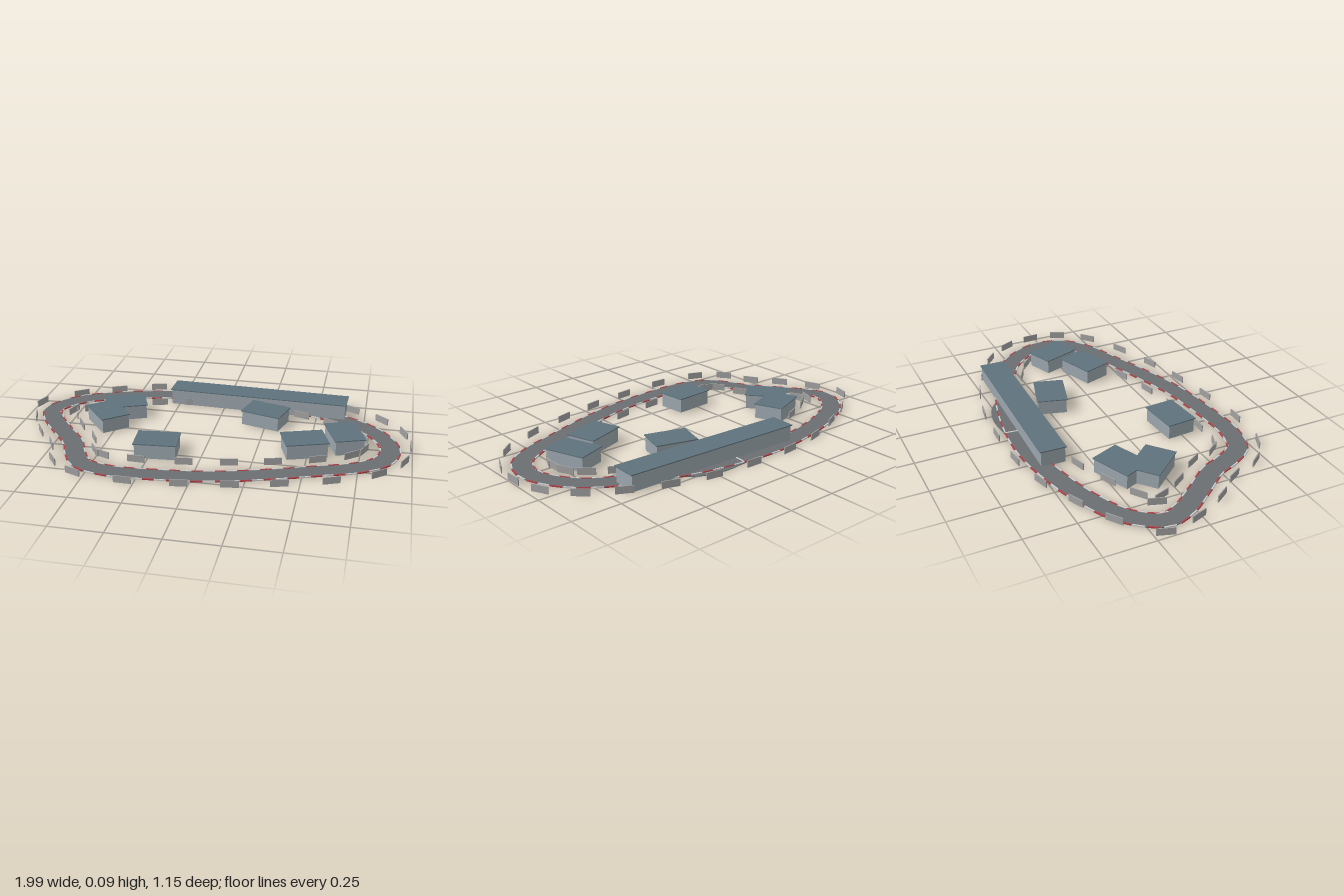
import * as THREE from 'three';

const mat = (color) => new THREE.MeshStandardMaterial({ color, flatShading: true });
const asphalt = mat(0x6a6e72), red = mat(0xb04046), grey = mat(0xcccccc);
const wall = mat(0x9aa5ac), roofMat = mat(0x5f727c), barrierMat = mat(0xa0a0a0);

const makeCurve = (pts, closed) => new THREE.CatmullRomCurve3(
  pts.map(([x, z]) => new THREE.Vector3(x, 0, z)), closed, 'centripetal');

// Horizontal unit vector pointing to the outside of the circuit
const outward = (t) => new THREE.Vector3(t.z, 0, -t.x).normalize();

function box(name, w, h, d, material, x, y, z, rotY = 0) {
  const mesh = new THREE.Mesh(new THREE.BoxGeometry(w, h, d), material);
  mesh.name = name;
  mesh.position.set(x, y, z);
  mesh.rotation.y = rotY;
  return mesh;
}

// Flat road slab swept along a curve with a rectangular cross-section
function road(name, curve, n, half, top) {
  const pos = [], index = [];
  for (let i = 0; i <= n; i++) {
    const p = curve.getPointAt(i / n), o = outward(curve.getTangentAt(i / n));
    for (const [s, y] of [[half, 0], [half, top], [-half, top], [-half, 0]]) {
      pos.push(p.x + o.x * s, y, p.z + o.z * s);
    }
  }
  for (let i = 0; i < n; i++) {
    for (let j = 0; j < 4; j++) {
      const k = (j + 1) % 4, a = i * 4, b = a + 4;
      index.push(a + j, a + k, b + k, a + j, b + k, b + j);
    }
  }
  const geo = new THREE.BufferGeometry();
  geo.setAttribute('position', new THREE.Float32BufferAttribute(pos, 3));
  geo.setIndex(index);
  geo.computeVertexNormals();
  const mesh = new THREE.Mesh(geo, asphalt);
  mesh.name = name;
  return mesh;
}

// Flat-roofed block made of equal bays under one overhanging slab
function building(name, x, z, deg, len, depth, height, bays = 1) {
  const g = new THREE.Group();
  g.name = name;
  const lip = 0.006, slab = 0.005, bay = (len - 2 * lip) / bays, h = height - slab;
  for (let i = 0; i < bays; i++) {
    g.add(box('wallBay', bay, h, depth - 2 * lip, wall, (i - (bays - 1) / 2) * bay, h / 2, 0));
  }
  g.add(box('roof', len, slab, depth, roofMat, 0, h + slab / 2, 0));
  g.position.set(x, 0, z);
  g.rotation.y = THREE.MathUtils.degToRad(deg);
  return g;
}

export function createModel() {
  const model = new THREE.Group();
  model.name = 'raceCircuit';

  // Circuit and the short side lane behind the long building
  const track = makeCurve([
    [-0.893, -0.15], [-0.80, -0.29], [-0.61, -0.39], [-0.40, -0.45], [-0.18, -0.485],
    [0.03, -0.48], [0.35, -0.42], [0.70, -0.28], [0.83, -0.16], [0.893, -0.01],
    [0.86, 0.12], [0.75, 0.21], [0.57, 0.28], [0.35, 0.36], [0.09, 0.435],
    [-0.18, 0.47], [-0.40, 0.475], [-0.54, 0.43], [-0.61, 0.33], [-0.66, 0.22],
    [-0.77, 0.08], [-0.86, -0.045]], true);
  model.add(road('track', track, 160, 0.05, 0.004));
  const lane = makeCurve([[-0.05, -0.48], [0.08, -0.494], [0.2, -0.50], [0.3, -0.475], [0.37, -0.42]], false);
  model.add(road('sideLane', lane, 24, 0.038, 0.003));
  model.add(box('startLine', 0.008, 0.002, 0.096, grey, 0.06, 0.005, -0.477, -0.1));

  // Alternating kerb blocks on both edges
  const kerbs = new THREE.Group();
  kerbs.name = 'kerbs';
  const count = 80;
  for (let i = 0; i < count; i++) {
    const p = track.getPointAt(i / count), t = track.getTangentAt(i / count), o = outward(t);
    for (const s of [-0.049, 0.049]) {
      kerbs.add(box('kerb', 0.056, 0.006, 0.007, i % 2 ? red : grey,
        p.x + o.x * s, 0.003, p.z + o.z * s, Math.atan2(-t.z, t.x)));
    }
  }
  model.add(kerbs);

  // Barrier panels: an outer ring and its inner partner
  const stations = [
    [-0.41, -0.53], [-0.19, -0.57], [0.05, -0.575], [0.28, -0.56], [0.49, -0.51], [0.68, -0.43],
    [0.84, -0.33], [0.955, -0.19], [0.992, -0.03], [0.965, 0.13], [0.85, 0.275], [0.64, 0.385],
    [0.41, 0.46], [0.19, 0.515], [-0.04, 0.55], [-0.30, 0.572], [-0.55, 0.54], [-0.685, 0.44],
    [-0.75, 0.28], [-0.855, 0.15], [-0.945, -0.02], [-0.98, -0.20], [-0.81, -0.355], [-0.62, -0.45]];
  const ring = makeCurve(stations, true);
  const barriers = new THREE.Group();
  barriers.name = 'barriers';
  stations.forEach(([x, z], i) => {
    const t = ring.getTangent(i / stations.length), o = outward(t);
    for (const s of [0, 0.215]) {
      barriers.add(box(s ? 'innerBarrier' : 'outerBarrier', 0.085, 0.035, 0.005, barrierMat,
        x - o.x * s, 0.0175, z - o.z * s, Math.atan2(-t.z, t.x)));
    }
  });
  model.add(barriers);

  // Long building over the straight, then the houses: x, z, degrees
  model.add(building('longBuilding', 0.18, -0.40, -2.1, 0.95, 0.132, 0.085, 5));
  for (const [x, z, deg] of [[-0.497, -0.17, 22], [-0.556, -0.04, -50], [-0.22, 0.24, 4.5],
    [0.245, -0.21, -16], [0.48, 0.09, 19], [0.667, -0.02, -70]]) {
    model.add(building('house', x, z, deg, 0.213, 0.155, 0.078));
  }
  return model;
}
